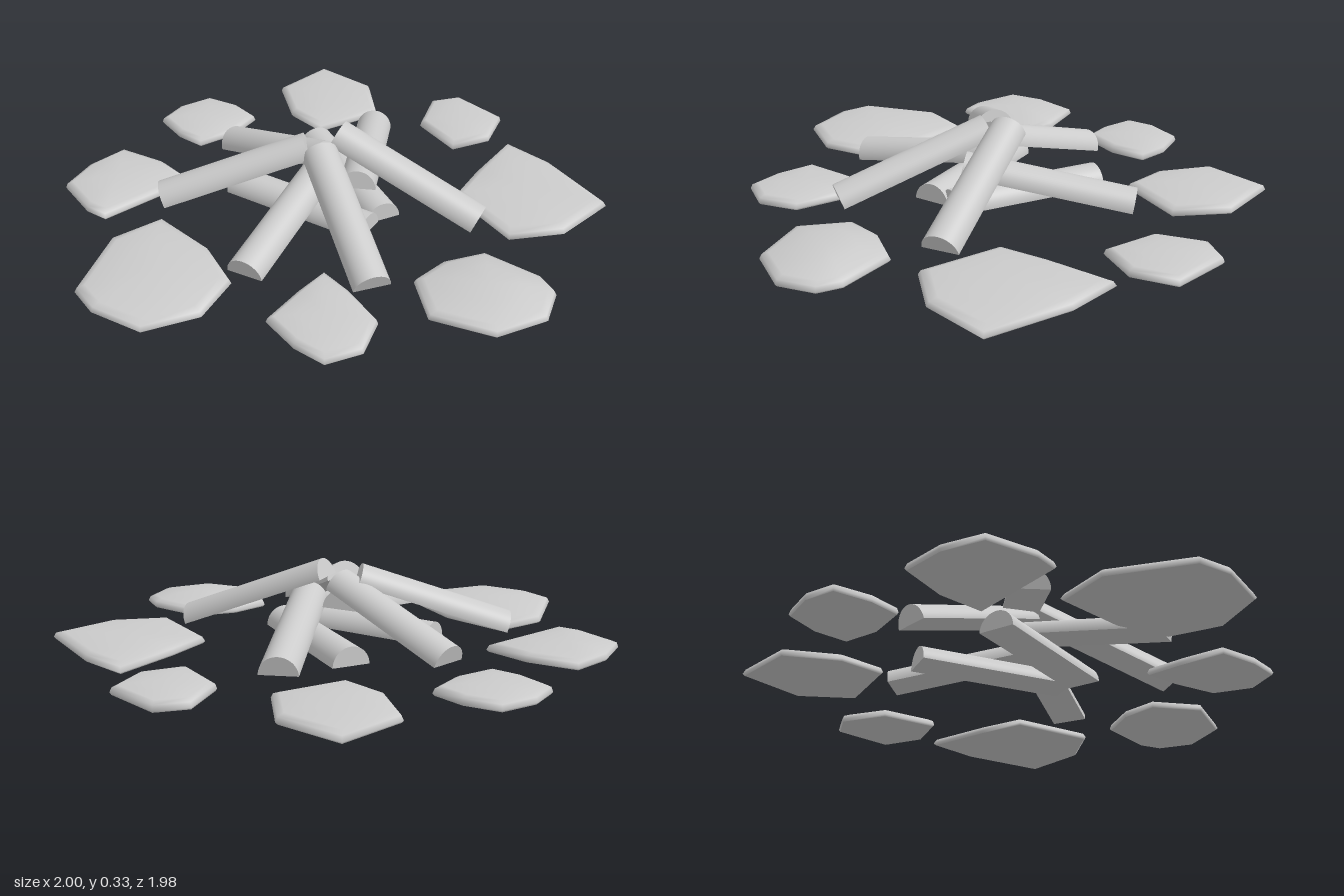
import * as THREE from 'three';

const grey = new THREE.MeshStandardMaterial({ color: 0xcccccc });

// Half-round split log: flat underside runs from a to b, round side up
function splitLog(name, a, b, r = 0.07) {
  const start = new THREE.Vector3(...a), end = new THREE.Vector3(...b);
  const length = start.distanceTo(end);
  const shape = new THREE.Shape();
  shape.absarc(0, 0, r, 0, Math.PI, false);
  shape.closePath();
  const geo = new THREE.ExtrudeGeometry(shape, { depth: length, bevelEnabled: false, curveSegments: 16 });
  // Smooth the round side while the flat side and the ends stay sharp
  const pos = geo.attributes.position, nor = geo.attributes.normal;
  for (let i = 0; i < pos.count; i++) {
    if (Math.abs(nor.getZ(i)) < 0.5 && nor.getY(i) > -0.9) {
      nor.setXYZ(i, pos.getX(i) / r, pos.getY(i) / r, 0);
    }
  }
  const mesh = new THREE.Mesh(geo, grey);
  mesh.name = name;
  mesh.position.copy(start);
  mesh.lookAt(end);
  return mesh;
}

// Flat stone: scaled copies of the outline rise to a low dome, flat underside
function flatStone(name, outline, height) {
  const n = outline.length;
  const cx = outline.reduce((s, p) => s + p[0], 0) / n;
  const cz = outline.reduce((s, p) => s + p[1], 0) / n;
  const rings = [[0.97, 0], [1, 0.008], [0.965, 0.025], [0.86, 0.034], [0.5, height * 0.9]];
  const verts = [], index = [];
  const addRing = (scale, y) => {
    for (const [x, z] of outline) verts.push(cx + (x - cx) * scale, y, cz + (z - cz) * scale);
  };
  rings.forEach(([scale, y]) => addRing(scale, y));
  const top = verts.length / 3;
  verts.push(cx, height, cz);
  const under = top + 1;
  addRing(rings[0][0], 0);
  const bottom = verts.length / 3;
  verts.push(cx, 0, cz);
  for (let i = 0; i < n; i++) {
    const j = (i + 1) % n;
    for (let k = 0; k < rings.length - 1; k++) {
      const a = k * n + i, b = k * n + j;
      index.push(a, a + n, b, b, a + n, b + n);
    }
    const last = (rings.length - 1) * n;
    index.push(top, last + j, last + i);
    index.push(bottom, under + i, under + j);
  }
  const geo = new THREE.BufferGeometry();
  geo.setAttribute('position', new THREE.Float32BufferAttribute(verts, 3));
  geo.setIndex(index);
  geo.computeVertexNormals();
  const mesh = new THREE.Mesh(geo, grey);
  mesh.name = name;
  return mesh;
}

export function createModel() {
  const model = new THREE.Group();
  model.name = 'campfire';

  // Logs: two lie low, the others lean in on them
  const logs = new THREE.Group();
  logs.name = 'logPile';
  const logEnds = {
    baseLogRight: [[-0.15, 0.03, -0.35], [0.0, 0.03, 0.225]],
    baseLogLeft: [[0.28, 0.03, -0.36], [0.09, 0.03, 0.21]],
    backLog: [[0.03, 0.035, -0.58], [0.03, 0.21, -0.04]],
    rightLog: [[-0.51, 0.035, 0.115], [0.08, 0.14, -0.09]],
    leftBackLog: [[0.54, 0.035, -0.28], [0.05, 0.14, 0.11]],
    rightBackLog: [[-0.43, 0.045, -0.45], [0.0, 0.235, -0.1]],
    rightFrontLog: [[-0.23, 0.03, 0.47], [0.01, 0.235, -0.05]],
    leftFrontLog: [[0.325, 0.035, 0.47], [0.11, 0.265, -0.06]],
  };
  for (const [name, [a, b]] of Object.entries(logEnds)) logs.add(splitLog(name, a, b));
  model.add(logs);

  // Ring of flat stones: outline corners as [x, z], and dome height
  const stones = new THREE.Group();
  stones.name = 'stoneRing';
  const addStone = (name, height, outline) => stones.add(flatStone(name, outline, height));
  addStone('rightStone', 0.05, [[-0.98, -0.25], [-0.71, -0.41], [-0.5, -0.38], [-0.49, -0.11],
    [-0.55, 0.09], [-0.74, 0.16], [-0.94, 0.08], [-1, -0.12]]);
  addStone('rightBackStone', 0.048, [[-0.64, -0.82], [-0.49, -0.875], [-0.32, -0.875], [-0.26, -0.69],
    [-0.26, -0.51], [-0.65, -0.54], [-0.67, -0.63]]);
  addStone('backStone', 0.045, [[-0.06, -0.96], [0.06, -0.99], [0.2, -0.96], [0.245, -0.83],
    [0.24, -0.7], [0.1, -0.67], [-0.06, -0.7], [-0.08, -0.82]]);
  addStone('leftBackStone', 0.046, [[0.38, -0.62], [0.49, -0.81], [0.75, -0.81], [0.785, -0.55],
    [0.65, -0.37], [0.38, -0.44]]);
  addStone('leftStone', 0.045, [[0.72, -0.18], [0.89, -0.27], [1, -0.21], [1, 0.03],
    [0.84, 0.1], [0.68, 0.04]]);
  addStone('leftFrontStone', 0.045, [[0.42, 0.28], [0.6, 0.23], [0.86, 0.18], [0.87, 0.39],
    [0.8, 0.72], [0.54, 0.72], [0.36, 0.6]]);
  addStone('frontStone', 0.06, [[-0.08, 0.53], [0.07, 0.53], [0.22, 0.6], [0.26, 0.83],
    [0.23, 0.92], [0.1, 0.985], [-0.09, 0.92], [-0.19, 0.7]]);
  addStone('rightFrontStone', 0.045, [[-0.6, 0.33], [-0.42, 0.295], [-0.28, 0.28], [-0.29, 0.42],
    [-0.33, 0.6], [-0.47, 0.67], [-0.6, 0.62], [-0.62, 0.49]]);
  model.add(stones);

  return model;
}
